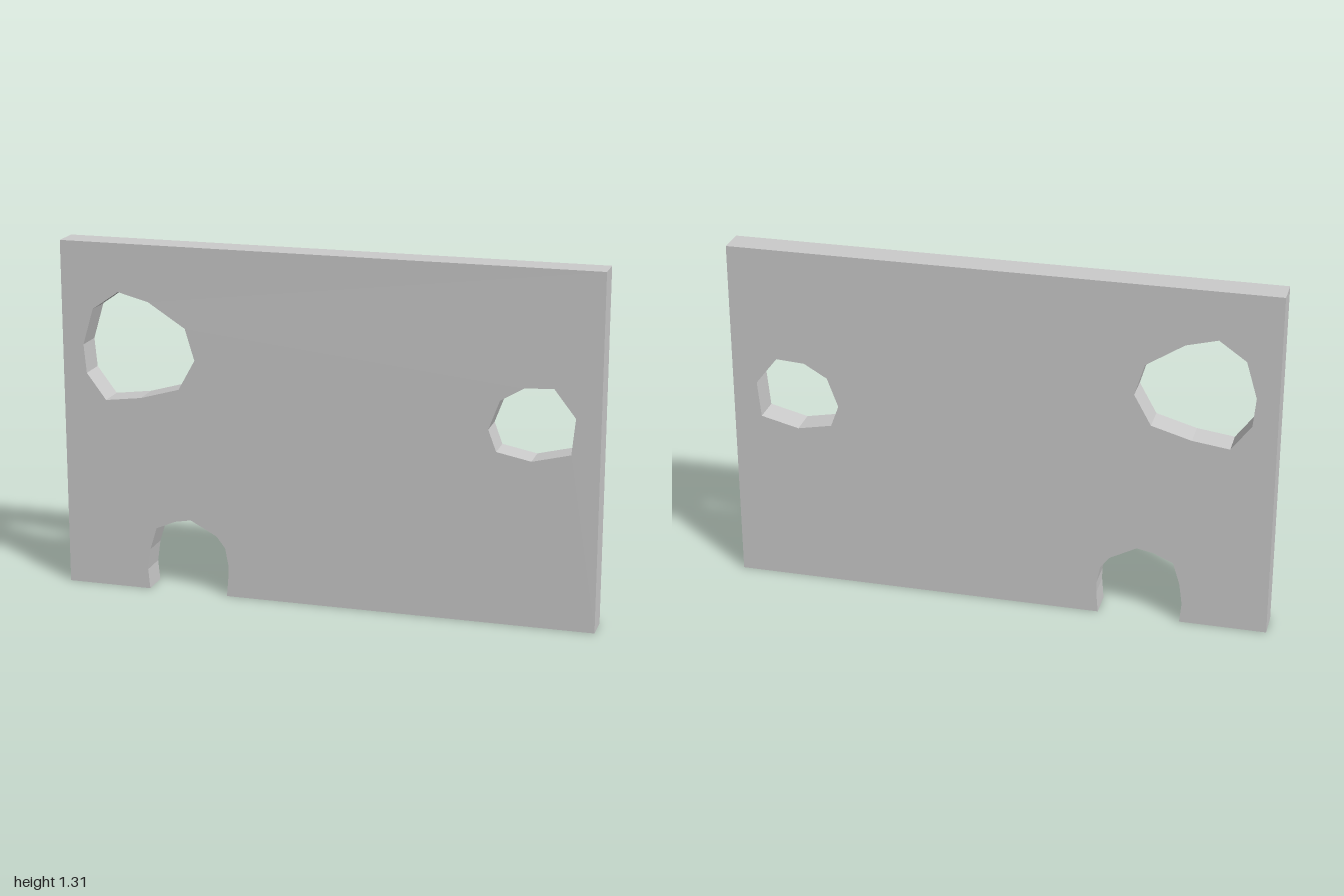
import * as THREE from 'three';

const points = (list) => list.map(([x, y]) => new THREE.Vector2(x, y));

export function createModel() {
  const group = new THREE.Group();
  group.name = 'brokenWall';
  const height = 1.31, depth = 0.107;

  // Ragged archway broken out of the bottom edge, right to left
  const archway = [
    [-0.377, 0], [-0.37, 0.08], [-0.37, 0.123], [-0.382, 0.187], [-0.415, 0.23], [-0.515, 0.283],
    [-0.575, 0.272], [-0.65, 0.24], [-0.676, 0.155], [-0.687, 0.075], [-0.68, 0],
  ];

  // Large hole, upper right of the wall
  const largeHole = [
    [-0.78, 1.13], [-0.665, 1.1], [-0.525, 1.01], [-0.49, 0.893], [-0.553, 0.78],
    [-0.7, 0.738], [-0.837, 0.72], [-0.91, 0.818], [-0.92, 0.925], [-0.88, 1.06],
  ];

  // Small hole on the other side
  const smallHole = [
    [0.725, 0.88], [0.83, 0.887], [0.91, 0.785], [0.897, 0.652],
    [0.757, 0.617], [0.63, 0.642], [0.6, 0.722], [0.64, 0.83],
  ];

  // Wall slab
  const outline = new THREE.Shape(points([[1, 0], [1, height], [-1, height], [-1, 0], ...archway.slice().reverse()]));
  outline.holes = [largeHole, smallHole].map((hole) => new THREE.Path(points(hole)));
  const geometry = new THREE.ExtrudeGeometry(outline, { depth, bevelEnabled: false, steps: 1 });
  geometry.translate(0, 0, -depth / 2);

  const wall = new THREE.Mesh(geometry, new THREE.MeshStandardMaterial({ color: 0xcccccc, flatShading: true }));
  wall.name = 'wall';
  group.add(wall);
  return group;
}
